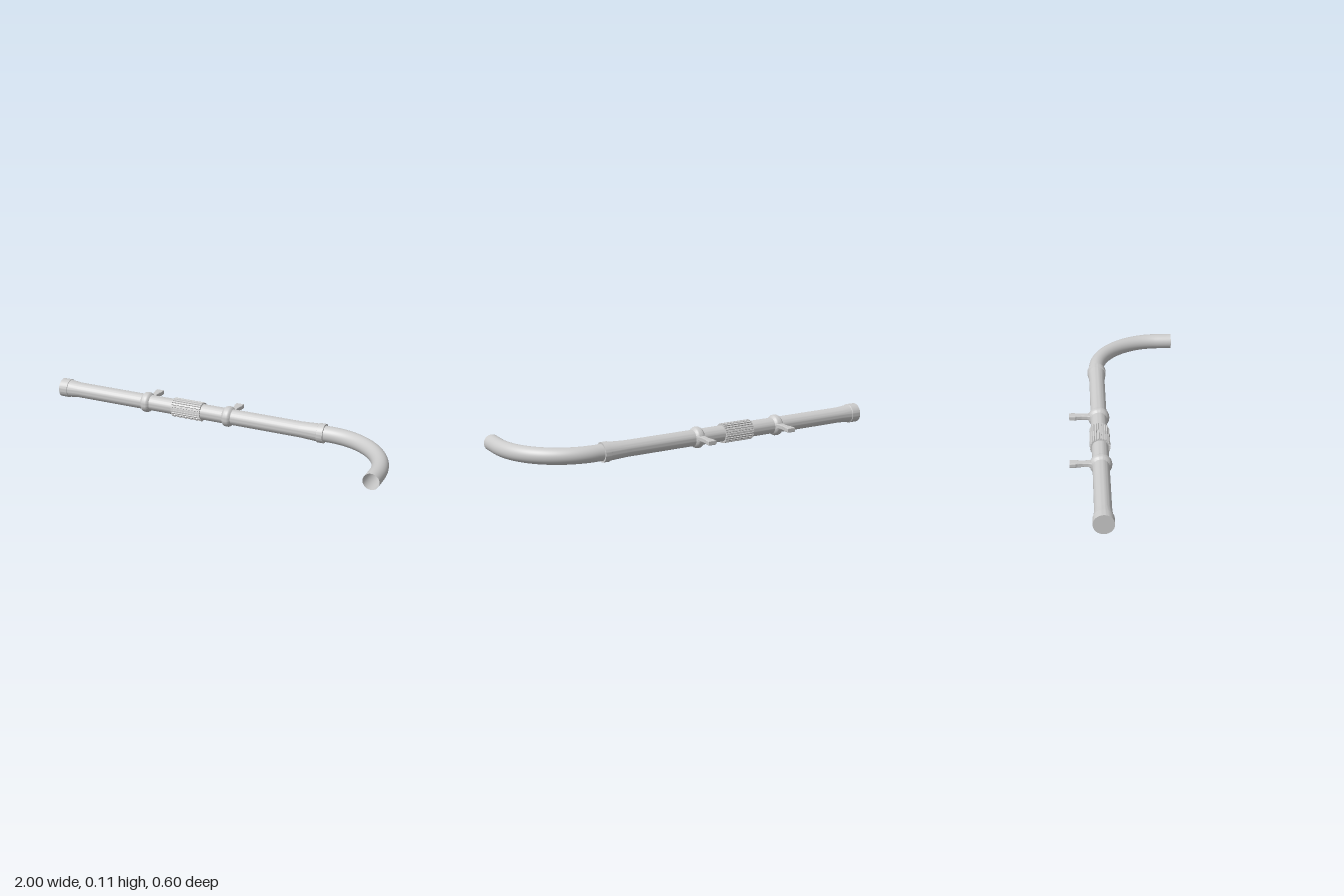
import * as THREE from 'three';
import { toCreasedNormals } from 'three/addons/utils/BufferGeometryUtils.js';

const AXIS_Y = 0.058, AXIS_Z = -0.145, R = 0.042;

export function createModel() {
  const group = new THREE.Group();
  const material = new THREE.MeshStandardMaterial({ color: 0xcccccc, side: THREE.DoubleSide });

  const add = (name, geometry, x = 0, y = AXIS_Y, z = AXIS_Z, parent = group) => {
    const mesh = new THREE.Mesh(geometry, material);
    mesh.name = name;
    mesh.position.set(x, y, z);
    parent.add(mesh);
    return mesh;
  };

  // Revolve [x, radius] pairs about the x axis
  const turned = (profile, segments = 48) => {
    const points = profile.map(([x, r]) => new THREE.Vector2(r, x));
    const geometry = new THREE.LatheGeometry(points, segments).rotateZ(-Math.PI / 2);
    return toCreasedNormals(geometry, 0.5);
  };

  // Straight pipe: closed collar at one end, flared socket at the other
  add('straightPipe', turned([
    [-1, 0], [-1, 0.051], [-0.952, 0.051], [-0.95, 0.048], [-0.89, R],
    [0.43, R], [0.53, 0.047], [0.532, 0.051], [0.565, 0.051], [0.565, R],
  ]));

  // Quarter bend, open at its outlet
  const bendX = 0.958, bendR = 0.36;
  const path = new THREE.CurvePath();
  const p = (x, z) => new THREE.Vector3(x, AXIS_Y, z);
  const arcStart = p(bendX - bendR, AXIS_Z), arcEnd = p(bendX, AXIS_Z + bendR);
  const k = bendR * 0.5523;
  path.add(new THREE.LineCurve3(p(0.53, AXIS_Z), arcStart));
  path.add(new THREE.CubicBezierCurve3(arcStart, p(arcStart.x + k, AXIS_Z), p(bendX, arcEnd.z - k), arcEnd));
  path.add(new THREE.LineCurve3(arcEnd, p(bendX, 0.3)));
  add('bentPipe', new THREE.TubeGeometry(path, 64, R, 40), 0, 0, 0);

  // Ribbed grip sleeve with lengthwise grooves
  const ribs = 24, outline = new THREE.Shape();
  for (let i = 0; i < ribs; i++) {
    [[0, 0.047], [0.12, 0.052], [0.68, 0.052], [0.8, 0.047]].forEach(([f, r], j) => {
      const a = ((i + f) / ribs) * Math.PI * 2;
      const method = i + j === 0 ? 'moveTo' : 'lineTo';
      outline[method](r * Math.cos(a), r * Math.sin(a));
    });
  }
  outline.closePath();
  const bore = new THREE.Path().absarc(0, 0, R - 0.002, 0, Math.PI * 2, true);
  outline.holes.push(bore);
  const sleeve = new THREE.ExtrudeGeometry(outline, { depth: 0.17, bevelEnabled: false, curveSegments: 32 });
  add('ribbedGrip', sleeve.rotateY(Math.PI / 2), -0.3);

  // Clamp arm outline, narrow in the middle with a wider end tab
  const half = [[0.025, 0.035], [0.017, 0.06], [0.015, 0.09], [0.018, 0.115], [0.022, 0.125], [0.022, 0.154]];
  const arm = new THREE.Shape([
    ...half.map(([x, d]) => new THREE.Vector2(x, d)),
    ...half.slice().reverse().map(([x, d]) => new THREE.Vector2(-x, d)),
  ]);
  const armGeometry = new THREE.ExtrudeGeometry(arm, {
    depth: 0.016, bevelThickness: 0.004, bevelSize: 0.004, bevelOffset: -0.004, bevelSegments: 2,
  }).translate(0, 0, -0.008).rotateX(-Math.PI / 2);

  // Two clamps: rounded ring plus rear arm
  const ringGeometry = turned([
    [-0.026, R - 0.001], [-0.022, 0.046], [-0.017, 0.051], [-0.01, 0.0545], [0, 0.0555],
    [0.01, 0.0545], [0.017, 0.051], [0.022, 0.046], [0.026, R - 0.001],
  ]);
  for (const x of [-0.465, 0.02]) {
    const clamp = new THREE.Group();
    clamp.name = 'clamp';
    clamp.position.set(x, AXIS_Y, AXIS_Z);
    add('clampRing', ringGeometry, 0, 0, 0, clamp);
    add('clampArm', armGeometry, 0, 0.006, 0, clamp);
    group.add(clamp);
  }

  return group;
}
